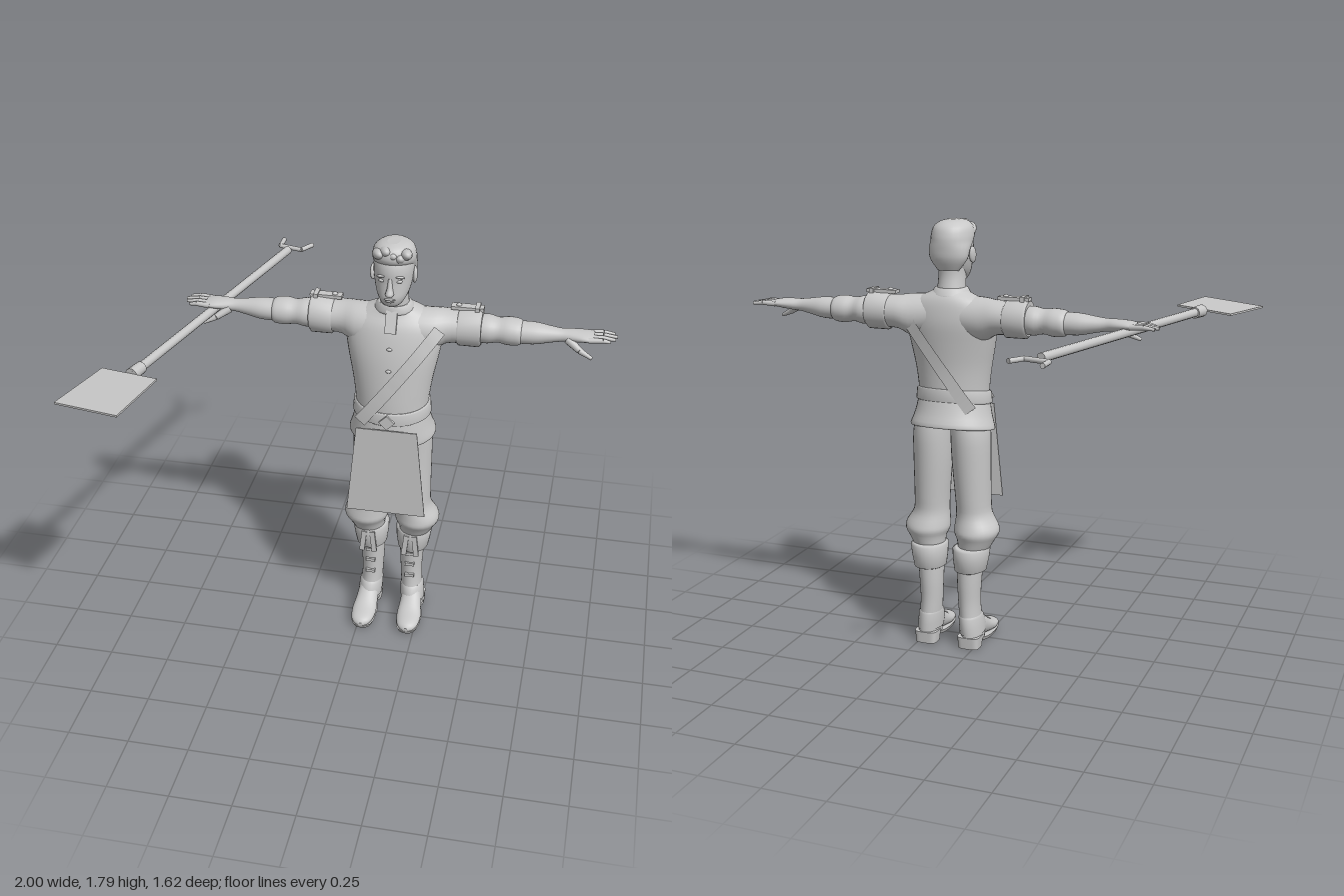
import * as THREE from 'three';

const grey = new THREE.MeshStandardMaterial({ color: 0xc8c8c8, side: THREE.DoubleSide });
grey.name = 'plain grey';
const V = (x, y, z) => new THREE.Vector3(x, y, z);

function add(group, name, geometry, x = 0, y = 0, z = 0) {
  const mesh = new THREE.Mesh(geometry, grey);
  mesh.name = name;
  mesh.position.set(x, y, z);
  group.add(mesh);
  return mesh;
}

// Catmull-Rom blend of a list of rings
function refine(rings, k) {
  const out = [], n = rings.length;
  for (let i = 0; i < n - 1; i++) {
    const [p, a, b, q] = [rings[Math.max(i - 1, 0)], rings[i], rings[i + 1], rings[Math.min(i + 2, n - 1)]];
    for (let j = 0; j < k; j++) {
      const t = j / k;
      out.push(a.map((v, c) => v + 0.5 * t * (b[c] - p[c] + t * (2 * p[c] - 5 * v + 4 * b[c] - q[c] + t * (3 * (v - b[c]) + q[c] - p[c])))));
    }
  }
  out.push(rings[n - 1]);
  return out;
}

// Closed oval loft. Ring: [position on axis, centre, half width, low, high]
function loft(rings, { axis = 'y', side = 1, k = 3, seg = 28, power = 1, warp } = {}) {
  const list = refine(rings, k), pos = [], idx = [];
  const put = (t, a, b) => {
    const v = axis === 'y' ? V(a, t, b) : axis === 'x' ? V(t, a, b) : V(a, b, t);
    if (warp) warp(v);
    pos.push(v.x * side, v.y, v.z);
  };
  const bend = c => Math.sign(c) * Math.abs(c) ** power;
  const ring = ([t, c, r, lo, hi]) => {
    for (let i = 0; i < seg; i++) {
      const u = i / seg * Math.PI * 2;
      put(t, c + r * bend(Math.cos(u)), (lo + hi) / 2 + (hi - lo) / 2 * bend(Math.sin(u)));
    }
  };
  list.forEach(ring);
  for (let j = 0; j < list.length - 1; j++) for (let i = 0; i < seg; i++) {
    const a = j * seg + i, b = j * seg + (i + 1) % seg;
    idx.push(a, a + seg, b, b, a + seg, b + seg);
  }
  // end caps with their own vertices
  [list[0], list[list.length - 1]].forEach((r, e) => {
    const s = pos.length / 3;
    ring(r);
    put(r[0], r[1], (r[3] + r[4]) / 2);
    for (let i = 0; i < seg; i++) {
      const a = s + i, b = s + (i + 1) % seg;
      e ? idx.push(a, s + seg, b) : idx.push(a, b, s + seg);
    }
  });
  // face outward whatever the axis and side
  if ((axis === 'y' ? 1 : -1) * side * Math.sign(list[list.length - 1][0] - list[0][0]) < 0)
    for (let i = 0; i < idx.length; i += 3) [idx[i], idx[i + 1]] = [idx[i + 1], idx[i]];
  const g = new THREE.BufferGeometry();
  g.setAttribute('position', new THREE.Float32BufferAttribute(pos, 3));
  g.setIndex(idx);
  g.computeVertexNormals();
  return g;
}

const ball = (rx, ry, rz) => new THREE.SphereGeometry(1, 16, 12).scale(rx, ry, rz);
const box = (x, y, z) => new THREE.BoxGeometry(x, y, z);

// Straight round rod between two points
function rod(group, name, a, b, r0, r1 = r0) {
  const m = add(group, name, new THREE.CylinderGeometry(r1, r0, a.distanceTo(b), 12));
  m.position.copy(a).add(b).multiplyScalar(0.5);
  m.quaternion.setFromUnitVectors(V(0, 1, 0), b.clone().sub(a).normalize());
}

const torso = [[1.03, 0, .15, -.15, .08], [1.1, 0, .15, -.15, .08], [1.2, 0, .163, -.15, .073],
  [1.3, 0, .183, -.158, .062], [1.38, 0, .195, -.165, .045], [1.44, 0, .185, -.16, .025],
  [1.48, 0, .14, -.15, 0], [1.505, 0, .085, -.135, -.008], [1.515, 0, .07, -.125, -.008]];

function buildHead(g) {
  add(g, 'head', loft([[1.54, 0, .02, -.005, .035], [1.553, 0, .04, -.035, .05], [1.58, 0, .058, -.08, .06],
    [1.61, 0, .069, -.105, .058], [1.65, 0, .077, -.125, .055], [1.69, 0, .08, -.132, .056],
    [1.73, 0, .075, -.13, .045], [1.765, 0, .05, -.1, .01]]));
  add(g, 'neck', loft([[1.46, 0, .068, -.135, 0], [1.52, 0, .058, -.12, 0], [1.57, 0, .055, -.11, .005], [1.61, 0, .055, -.11, 0]]));
  add(g, 'hair', loft([[1.595, 0, .045, -.116, -.07], [1.64, 0, .078, -.137, -.04], [1.68, 0, .085, -.142, -.015],
    [1.71, 0, .086, -.143, .035], [1.735, 0, .086, -.14, .057], [1.765, 0, .078, -.128, .055],
    [1.785, 0, .055, -.1, .04], [1.793, 0, .025, -.06, .01]]));
  for (let i = 0; i < 5; i++)
    add(g, 'hairTuft', ball(.024, .022, .05), -.054 + i * .027, 1.752 + .012 * Math.sin(i * 1.7), .015).rotation.set(-.3, .3, 0);
  add(g, 'nose', loft([[1.596, 0, .012, .04, .068], [1.607, 0, .017, .04, .085], [1.63, 0, .011, .04, .072], [1.668, 0, .008, .035, .058]], { seg: 12 }));
  add(g, 'upperLip', ball(.022, .005, .008), 0, 1.582, .057);
  add(g, 'lowerLip', ball(.018, .005, .008), 0, 1.573, .056);
  for (const s of [-1, 1]) {
    add(g, 'eye', ball(.014, .007, .008), s * .033, 1.655, .043);
    add(g, 'brow', ball(.021, .005, .01), s * .034, 1.674, .045).rotation.z = -s * .1;
    add(g, 'ear', ball(.01, .034, .021), s * .082, 1.655, -.035).rotation.set(-.2, s * .25, 0);
  }
}

function buildTorso(g) {
  add(g, 'tunic', loft(torso, { seg: 40 }));
  const tilt = v => { v.y -= .15 * (v.z + .03); };
  add(g, 'tunicSkirt', loft([[1.07, 0, .15, -.152, .083], [1.0, 0, .163, -.175, .09], [.945, 0, .18, -.197, .088], [.938, 0, .172, -.185, .08]], { seg: 40, warp: tilt }));
  add(g, 'belt', loft([[1.045, 0, .155, -.157, .087], [1.05, 0, .162, -.163, .092], [1.095, 0, .158, -.16, .09], [1.1, 0, .15, -.153, .083]], { seg: 40, k: 1, warp: tilt }));
  add(g, 'buckle', box(.045, .045, .012), 0, 1.05, .094).rotation.z = Math.PI / 4;
  add(g, 'collar', loft([[1.49, 0, .08, -.142, .008], [1.5, 0, .083, -.142, .01], [1.522, 0, .068, -.126, .006], [1.525, 0, .062, -.12, .002]], { k: 1 }));
  add(g, 'collarPlacket', box(.045, .09, .012), 0, 1.465, .02).rotation.x = -.42;
  for (const [y, z] of [[1.36, .051], [1.27, .067], [1.18, .075]]) add(g, 'button', ball(.011, .007, .006), 0, y, z);

  // diagonal sash on chest and back
  const rows = refine(torso, 8), n = 20;
  for (const face of [1, -1]) {
    const pos = [], idx = [];
    for (let i = 0; i <= n; i++) for (const w of [-.026, .026]) {
      const t = i / n, x = -.115 + .305 * t + w * .8, y = 1.035 + .405 * t - w * .6;
      const r = rows.reduce((a, b) => Math.abs(b[0] - y) < Math.abs(a[0] - y) ? b : a);
      const h = (r[4] - r[3]) / 2;
      pos.push(x, y, (r[3] + r[4]) / 2 + face * (h * Math.sqrt(1 - (x / .27) ** 2) + .009));
    }
    for (let i = 0; i < n; i++) {
      const a = i * 2;
      face > 0 ? idx.push(a, a + 1, a + 2, a + 1, a + 3, a + 2) : idx.push(a, a + 2, a + 1, a + 1, a + 2, a + 3);
    }
    const s = new THREE.BufferGeometry();
    s.setAttribute('position', new THREE.Float32BufferAttribute(pos, 3));
    s.setIndex(idx);
    s.computeVertexNormals();
    add(g, face > 0 ? 'sashFront' : 'sashBack', s);
  }

  // hanging flat satchel
  const shape = new THREE.Shape([[-.165, .615], [.165, .615], [.125, 1.015], [-.125, 1.015]].map(p => new THREE.Vector2(...p)));
  add(g, 'satchel', new THREE.ExtrudeGeometry(shape, { depth: .006, bevelEnabled: false }), 0, 0, .096);
}

function buildArm(g, side) {
  const o = { axis: 'x', side };
  add(g, 'sleeve', loft([[.06, 1.41, .085, -.155, .015], [.15, 1.405, .088, -.165, .008], [.21, 1.417, .07, -.17, -.018], [.28, 1.417, .066, -.168, -.025]], o));
  add(g, 'sleeveCuff', loft([[.25, 1.417, .066, -.168, -.026], [.257, 1.417, .077, -.175, -.02], [.338, 1.42, .08, -.175, -.018], [.347, 1.42, .07, -.167, -.028]], { ...o, k: 1 }));
  add(g, 'underSleeve', loft([[.33, 1.415, .055, -.16, -.04], [.37, 1.415, .058, -.165, -.038], [.41, 1.415, .05, -.155, -.045], [.45, 1.414, .056, -.162, -.04], [.49, 1.413, .053, -.16, -.042], [.503, 1.413, .046, -.15, -.05]], o));
  add(g, 'forearm', loft([[.48, 1.413, .044, -.15, -.05], [.55, 1.414, .044, -.15, -.052], [.61, 1.416, .034, -.138, -.063], [.66, 1.418, .026, -.13, -.07],
    [.7, 1.42, .024, -.138, -.065], [.75, 1.422, .019, -.147, -.055], [.785, 1.422, .012, -.145, -.058]], o));
  for (let i = 0; i < 4; i++) {
    const z = -.137 + i * .024, tip = .852 + .024 * Math.sin((i + .6) * .9);
    rod(g, 'finger', V(side * .765, 1.421, z), V(side * .82, 1.424, z * 1.04), .0115, .01);
    rod(g, 'fingertip', V(side * .82, 1.424, z * 1.04), V(side * tip, 1.419, z * 1.06), .01, .006);
  }
  rod(g, 'thumb', V(side * .685, 1.41, -.08), V(side * .735, 1.38, -.052), .018, .013);
  rod(g, 'thumbTip', V(side * .735, 1.38, -.052), V(side * .785, 1.357, -.038), .013, .007);
  // shoulder strap with its button
  add(g, 'shoulderStrap', box(.13, .014, .038), side * .285, 1.499, -.103);
  add(g, 'shoulderStrapLoop', box(.018, .02, .06), side * .325, 1.501, -.103);
  add(g, 'shoulderStrapButton', ball(.011, .007, .011), side * .25, 1.507, -.103);
}

function buildLeg(g, side) {
  const o = { side };
  add(g, 'trouserLeg', loft([[1.0, .075, .078, -.15, .05], [.92, .083, .082, -.16, .035], [.8, .086, .08, -.155, .03], [.65, .092, .074, -.145, .03],
    [.58, .096, .075, -.142, .03], [.53, .108, .092, -.158, .034], [.5, .11, .094, -.165, .034], [.47, .108, .08, -.155, .015], [.43, .1, .065, -.145, -.005]], o));
  add(g, 'bootCuff', loft([[.335, .09, .055, -.155, -.02], [.342, .091, .066, -.172, -.008], [.39, .093, .074, -.178, 0], [.435, .095, .078, -.182, .005], [.44, .095, .066, -.165, -.008]], { ...o, k: 1 }));
  add(g, 'bootShaft', loft([[.36, .088, .054, -.152, -.022], [.28, .086, .05, -.153, -.028], [.2, .086, .046, -.15, -.03], [.13, .09, .046, -.152, -.022], [.07, .096, .048, -.155, -.005], [.03, .098, .045, -.155, -.005]], o));
  add(g, 'bootFoot', loft([[-.1, .097, .044, .02, .12], [-.04, .097, .045, .02, .135], [.0, .098, .048, .015, .105], [.05, .1, .053, .01, .072], [.1, .101, .046, .01, .058], [.125, .101, .032, .012, .048], [.137, .101, .012, .018, .035]], { ...o, axis: 'z' }));
  add(g, 'bootSole', loft([[.003, .1, .046, -.05, .13], [.02, .1, .053, -.06, .138]], { ...o, k: 1, power: .75 }));
  add(g, 'bootHeel', loft([[0, .097, .046, -.155, -.075], [.05, .097, .049, -.158, -.065]], { ...o, k: 1, power: .5 }));
  add(g, 'ankleFlap', loft([[.06, .096, .051, -.159, -.002], [.09, .094, .052, -.16, .006], [.13, .091, .05, -.157, -.014], [.14, .09, .045, -.15, -.024]], { ...o, k: 1 }));
  for (const y of [.32, .265, .205]) add(g, 'bootBuckle', box(.04, .014, .014), side * .087, y, -.028);
  for (const dx of [-.022, .022]) add(g, 'cuffTie', box(.022, .1, .01), side * .092 + dx, .385, .002).rotation.z = dx * 5;
}

function buildShovel(g) {
  const tail = V(-.476, 1.4, -.7), neck = V(-.786, 1.392, .495);
  rod(g, 'shovelShaft', tail, neck, .018);
  rod(g, 'shovelSocket', V(-.769, 1.392, .43), neck, .024, .026);
  const grip = [V(-.52, 1.397, -.815), V(-.52, 1.397, -.745), V(-.42, 1.397, -.72), V(-.383, 1.397, -.78)];
  for (let i = 0; i < 3; i++) rod(g, 'shovelGrip', grip[i], grip[i + 1], .01);
  // flat blade, slightly rolled to one side
  const shape = new THREE.Shape([[-.914, -.463], [-1, -.735], [-.733, -.805], [-.674, -.527]].map(p => new THREE.Vector2(...p)));
  shape.curves[0].v2.set(-1, -.735);
  const blade = new THREE.ExtrudeGeometry(shape, { depth: .008, bevelEnabled: false }).rotateX(-Math.PI / 2);
  const p = blade.attributes.position;
  for (let i = 0; i < p.count; i++) p.setY(i, p.getY(i) + 1.388 + (p.getX(i) + .83) * .06);
  blade.computeVertexNormals();
  add(g, 'shovelBlade', blade);
}

export function createModel() {
  const model = new THREE.Group(), figure = new THREE.Group(), shovel = new THREE.Group();
  model.name = 'workerWithShovel';
  figure.name = 'figure';
  shovel.name = 'shovel';
  figure.position.x = .12;
  buildHead(figure);
  buildTorso(figure);
  for (const side of [1, -1]) {
    buildArm(figure, side);
    buildLeg(figure, side);
  }
  buildShovel(shovel);
  model.add(figure, shovel);
  return model;
}
